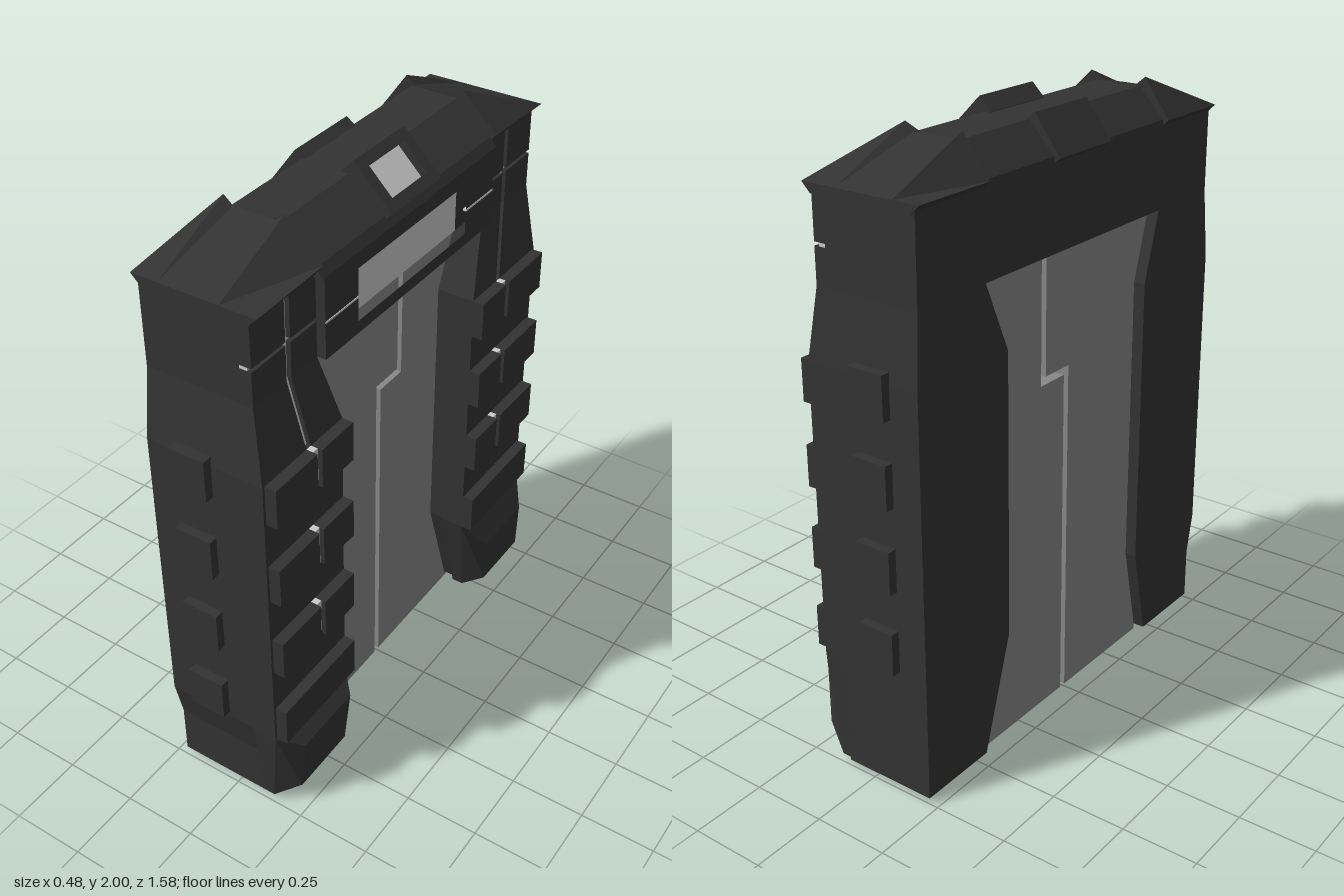
import * as THREE from 'three';

const dark = new THREE.MeshStandardMaterial({ color: 0x333333 });
const doorGrey = new THREE.MeshStandardMaterial({ color: 0x888888 });
const light = new THREE.MeshStandardMaterial({ color: 0xcccccc });

export function createModel() {
  const model = new THREE.Group();

  function add(name, geo, mat, parent = model) {
    const mesh = new THREE.Mesh(geo, mat);
    mesh.name = name;
    parent.add(mesh);
    return mesh;
  }

  // Plate drawn in the (z, y) plane and extruded from x0 to x1
  function slab(name, mat, pts, x0, x1, hole, lean) {
    const toV = ([z, y]) => new THREE.Vector2(-z, y);
    const shape = new THREE.Shape(pts.map(toV));
    if (hole) shape.holes.push(new THREE.Path(hole.map(toV)));
    const geo = new THREE.ExtrudeGeometry(shape, { depth: x1 - x0, bevelEnabled: false });
    geo.rotateY(Math.PI / 2).translate(x0, 0, 0);
    if (lean) { // front face leans outward below the header
      const p = geo.attributes.position;
      for (let i = 0; i < p.count; i++) {
        if (p.getX(i) > (x0 + x1) / 2) p.setX(i, p.getX(i) + lean * (1.57 - p.getY(i)) / 0.23);
      }
      geo.computeVertexNormals();
    }
    return add(name, geo, mat);
  }

  const rect = (z0, z1, y0, y1) => [[z0, y0], [z1, y0], [z1, y1], [z0, y1]];

  // Flat-sided solid through rings of [x, y, z], counter-clockwise seen from the last ring
  function loft(name, mat, rings) {
    const v = [];
    const tri = (...corners) => corners.forEach((c) => v.push(...c));
    const n = rings[0].length;
    for (let i = 0; i + 1 < rings.length; i++) {
      for (let j = 0; j < n; j++) {
        const k = (j + 1) % n, a = rings[i], b = rings[i + 1];
        tri(a[j], a[k], b[k]);
        tri(a[j], b[k], b[j]);
      }
    }
    const first = rings[0], last = rings[rings.length - 1];
    for (let j = 1; j + 1 < n; j++) {
      tri(last[0], last[j], last[j + 1]);
      tri(first[0], first[j + 1], first[j]);
    }
    const geo = new THREE.BufferGeometry();
    geo.setAttribute('position', new THREE.Float32BufferAttribute(v, 3));
    geo.computeVertexNormals();
    return add(name, geo, mat);
  }

  // Surround with an opening down to the ground
  slab('frame', dark, [
    [0.74, 0.02], [0.74, 0.2], [0.77, 0.34], [0.77, 1.34], [0.74, 1.57], [0.74, 1.84],
    [-0.74, 1.84], [-0.74, 1.57], [-0.75, 1.34], [-0.75, 0.02],
    [-0.47, 0.02], [-0.35, 0.4], [-0.35, 1.34], [-0.45, 1.57],
    [0.45, 1.57], [0.38, 1.34], [0.38, 0.34], [0.45, 0.02],
  ], -0.22, 0.1);

  // Two door leaves with a stepped seam and a lit core between them
  slab('leftDoorLeaf', doorGrey, [
    [0.012, 0], [0.45, 0.0], [0.45, 0.02], [0.39, 0.34], [0.39, 1.34], [0.45, 1.575],
    [-0.108, 1.575], [-0.108, 1.17], [0.012, 1.17],
  ], -0.18, 0.05);
  slab('rightDoorLeaf', doorGrey, [
    [-0.012, 0], [-0.012, 1.145], [-0.132, 1.145], [-0.132, 1.575], [-0.45, 1.575],
    [-0.36, 1.34], [-0.36, 0.4], [-0.47, 0.02], [-0.49, 0],
  ], -0.18, 0.05);
  slab('doorSeam', light, [
    [0.02, 0.01], [0.02, 1.18], [-0.1, 1.18], [-0.1, 1.57], [-0.14, 1.57], [-0.14, 1.14], [-0.02, 1.14], [-0.02, 0.01],
  ], -0.12, 0.03);

  // Header with a recessed display
  slab('header', dark, rect(-0.45, 0.45, 1.57, 1.83), 0.1, 0.17, rect(-0.29, 0.29, 1.61, 1.78));
  slab('display', light, rect(-0.29, 0.29, 1.61, 1.78), 0.1, 0.135);

  // Pillars: the two sides differ slightly in width and rib spacing
  const sides = [
    { s: 1, side: 'left', inner: 0.39, outer: 0.77, strip: 0.555, step: 0.29, ribH: 0.135, stud: 1.23, studStep: 0.29 },
    { s: -1, side: 'right', inner: 0.35, outer: 0.75, strip: 0.505, step: 0.27, ribH: 0.135, stud: 1.24, studStep: 0.27 },
  ];
  for (const { s, side, inner, outer, strip, step, ribH, stud, studStep } of sides) {
    const g = 0.011; // half width of a groove
    const part = (name, mat, pts, x0, x1, lean) =>
      slab(side + name, mat, pts.map(([z, y]) => [s * z, y]), x0, x1, null, lean);
    const ribY = (i) => 1.205 - i * step;
    const footTop = ribY(3);

    // Upper plates, parted by a cross of lit grooves
    for (const [y0, y1] of [[1.57, 1.684], [1.696, 1.83]]) {
      part('UpperPlate', dark, rect(0.45, 0.58 - g, y0, y1), 0.1, 0.14);
      part('UpperPlate', dark, rect(0.58 + g, 0.74, y0, y1), 0.1, 0.14);
    }
    part('UprightLight', light, rect(0.565, 0.595, 1.57, 1.83), 0.1, 0.125);
    part('CrossLight', light, rect(0.45, 0.738, 1.68, 1.70), 0.1, 0.125);
    part('HeaderLight', light, rect(0.29, 0.45, 1.687, 1.693), 0.16, 0.172);

    // Leaning plates
    part('LeaningPlate', dark, [[0.45, 1.57], [0.58 - g, 1.57], [strip - g, 1.34], [inner, 1.34]], 0.1, 0.14, 0.04);
    part('LeaningPlate', dark, [[0.58 + g, 1.57], [0.74, 1.57], [outer, 1.34], [strip + g, 1.34]], 0.1, 0.14, 0.04);
    part('LeaningLight', light, [[0.565, 1.57], [0.595, 1.57], [strip + 0.015, 1.34], [strip - 0.015, 1.34]], 0.1, 0.125, 0.04);

    // Lower shaft, ribs and outer studs
    part('Shaft', dark, rect(inner, outer, footTop, 1.34), 0.1, 0.18);
    for (let i = 0; i < 4; i++) {
      const y = ribY(i), top = y + ribH, edge = outer - 0.01;
      if (i < 3) {
        part('Rib', dark, rect(inner, strip - g, y, top), 0.18, 0.218);
        part('Rib', dark, rect(strip + g, edge, y, top), 0.18, 0.218);
        part('RibLight', light, rect(strip - g, strip + g, y, top), 0.18, 0.203);
      } else {
        part('Rib', dark, rect(inner, edge, y, top), 0.18, 0.218);
      }
      const sy = stud - i * studStep;
      part('Stud', dark, rect(outer - 0.02, outer + 0.03, sy, sy + 0.14), -0.12, 0.005);
    }

    // Faceted foot
    const orient = (ring) => (s > 0 ? ring : ring.reverse());
    const ring = (pts) => orient(pts.map(([x, y, z]) => [x, y, s * z]));
    loft(side + 'Foot', dark, [
      ring([[0.1, footTop, inner], [0.1, footTop, outer], [0.1, 0.02, 0.74], [0.1, 0.02, 0.45]]),
      ring([[0.18, footTop, inner], [0.18, footTop, outer], [0.14, 0.02, 0.74], [0.14, 0.02, 0.45]]),
      ring([[0.235, 0.27, 0.44], [0.235, 0.27, 0.69], [0.225, 0.085, 0.7], [0.225, 0.085, 0.46]]),
    ]);

    // Roof corner cap, sloping down to the outer end
    const cap = [[-0.21, 1.83], [0.14, 1.83], [0.17, 1.87], [0.05, 1.985], [0.02, 1.96], [-0.12, 1.96], [-0.15, 1.985], [-0.24, 1.86]];
    loft(side + 'RoofCap', dark, [
      orient(cap.map(([x, y]) => [x, y, s * 0.455])),
      orient(cap.map(([x, y]) => [x, Math.min(y, 1.86), s * 0.745])),
    ]);
  }

  // Roof ridge between the caps
  const roof = [[-0.22, 1.83], [0.17, 1.83], [0.15, 1.86], [0.03, 1.955], [-0.13, 1.955], [-0.22, 1.86]];
  loft('roof', dark, [-0.46, 0.46].map((z) => roof.map(([x, y]) => [x, y, z])));

  // Tilted lamp on the front slope and a plain cover on the back slope
  const lamp = new THREE.Group();
  lamp.name = 'lamp';
  const box = (w, h) => [[-w, -h], [w, -h], [w, h], [-w, h]].map(([x, y]) => new THREE.Vector2(x, y));
  const rim = new THREE.Shape(box(0.13, 0.09));
  rim.holes.push(new THREE.Path(box(0.09, 0.055)));
  add('lampRim', new THREE.ExtrudeGeometry(rim, { depth: 0.06, bevelEnabled: false }).translate(0, 0, -0.06), dark, lamp);
  add('lampGlass', new THREE.BoxGeometry(0.18, 0.11, 0.03).translate(0, 0, -0.04), light, lamp);
  lamp.rotation.set(-Math.PI / 4, Math.PI / 2, 0, 'YXZ');
  lamp.position.set(0.11, 1.936, 0);
  model.add(lamp);

  const cover = add('backCover', new THREE.BoxGeometry(0.04, 0.15, 0.26), dark);
  cover.position.set(-0.18, 1.905, 0);
  cover.rotation.z = -0.64;

  return model;
}
